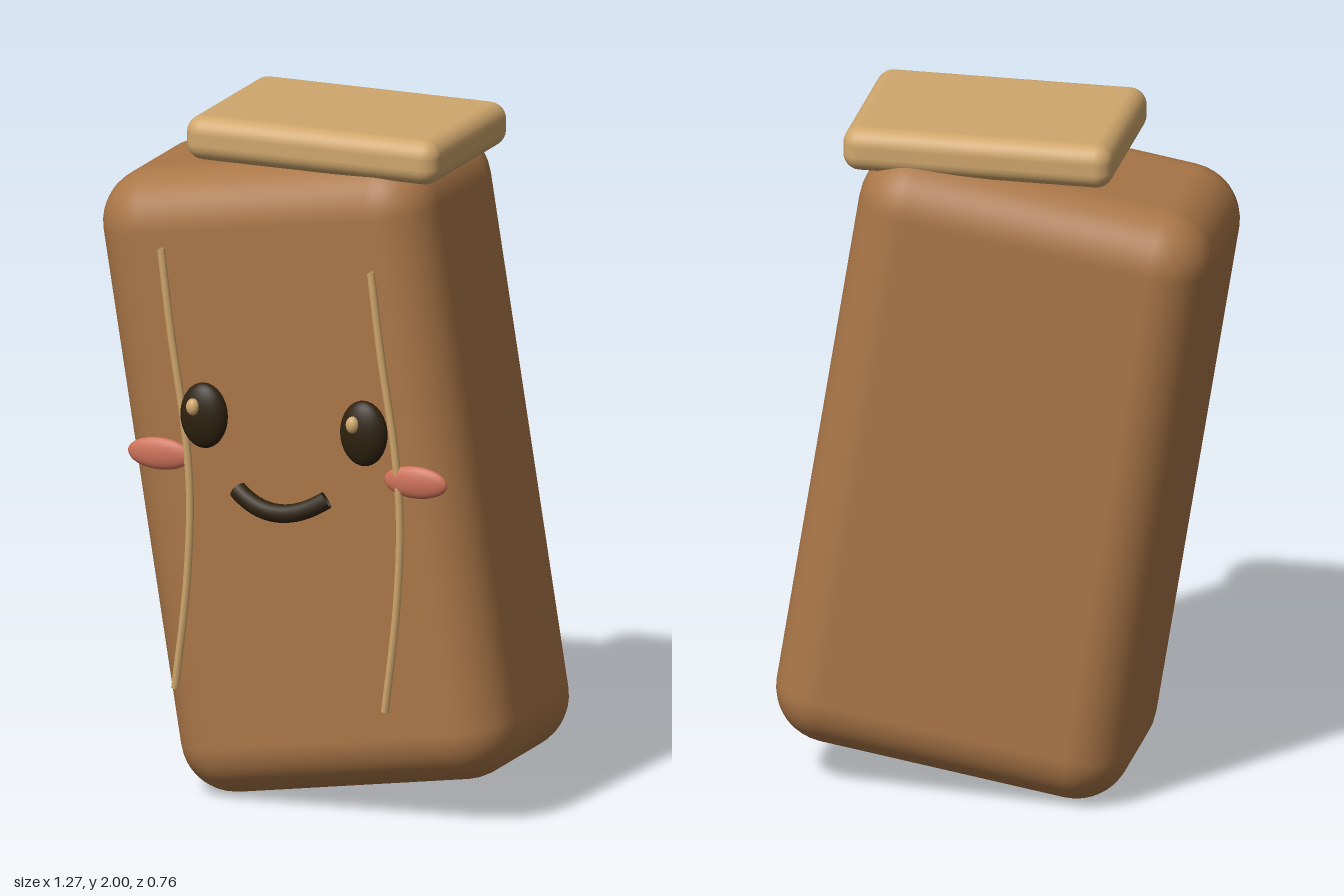
import * as THREE from 'three';
import { RoundedBoxGeometry } from 'three/addons/geometries/RoundedBoxGeometry.js';

const mat = (name, color, side = THREE.FrontSide) => {
  const m = new THREE.MeshStandardMaterial({ color, side });
  m.name = name;
  return m;
};

export function createModel() {
  const root = new THREE.Group();
  root.name = 'woodBlockCharacter';
  const wood = mat('brown wood', 0xab7748);
  const tan = mat('light tan', 0xd0a76d, THREE.DoubleSide);
  const dark = mat('dark brown', 0x2e2210, THREE.DoubleSide);
  const blush = mat('blush', 0xcf735a);

  const add = (name, geometry, material, x = 0, y = 0, z = 0) => {
    const mesh = new THREE.Mesh(geometry, material);
    mesh.name = name;
    mesh.position.set(x, y, z);
    root.add(mesh);
    return mesh;
  };
  const ellipsoid = (name, material, pos, radii) =>
    add(name, new THREE.SphereGeometry(1, 24, 16), material, ...pos).scale.set(...radii);

  // Leaning body and level cap
  add('body', new RoundedBoxGeometry(1.04, 1.83, 0.655, 5, 0.16), wood, 0, 0.96, -0.057)
    .rotation.z = 0.16;
  add('cap', new RoundedBoxGeometry(0.785, 0.13, 0.55, 4, 0.05), tan, 0.0425, 1.935, -0.035);

  // Wavy grain lines, the same curve twice
  const grain = new THREE.CatmullRomCurve3(
    [[-0.392, 1.62], [-0.36, 1.37], [-0.318, 1.1], [-0.302, 0.9], [-0.312, 0.64], [-0.348, 0.33]]
      .map(([x, y]) => new THREE.Vector3(x, y, 0.29)));
  [0, 0.652].forEach((dx, i) =>
    add(i ? 'leftGrain' : 'rightGrain', new THREE.TubeGeometry(grain, 28, 0.012, 8), tan, dx));

  // Eyes with highlights, and cheeks
  for (const s of [-1, 1]) {
    const side = s > 0 ? 'left' : 'right';
    ellipsoid(side + 'Eye', dark, [s * 0.248, 1.15, 0.312], [0.072, 0.096, 0.038]);
    ellipsoid(side + 'EyeHighlight', tan, [s * 0.248 - 0.021, 1.18, 0.344], [0.02, 0.025, 0.018]);
    ellipsoid(side + 'Cheek', blush, [s * 0.398, 1.015, 0.286], [0.098, 0.047, 0.021]);
  }

  // Smile
  const smile = new THREE.QuadraticBezierCurve3(
    new THREE.Vector3(-0.138, 0.945, 0.325),
    new THREE.Vector3(0, 0.85, 0.38),
    new THREE.Vector3(0.138, 0.945, 0.325));
  add('mouth', new THREE.TubeGeometry(smile, 16, 0.027, 10), dark);

  return root;
}
